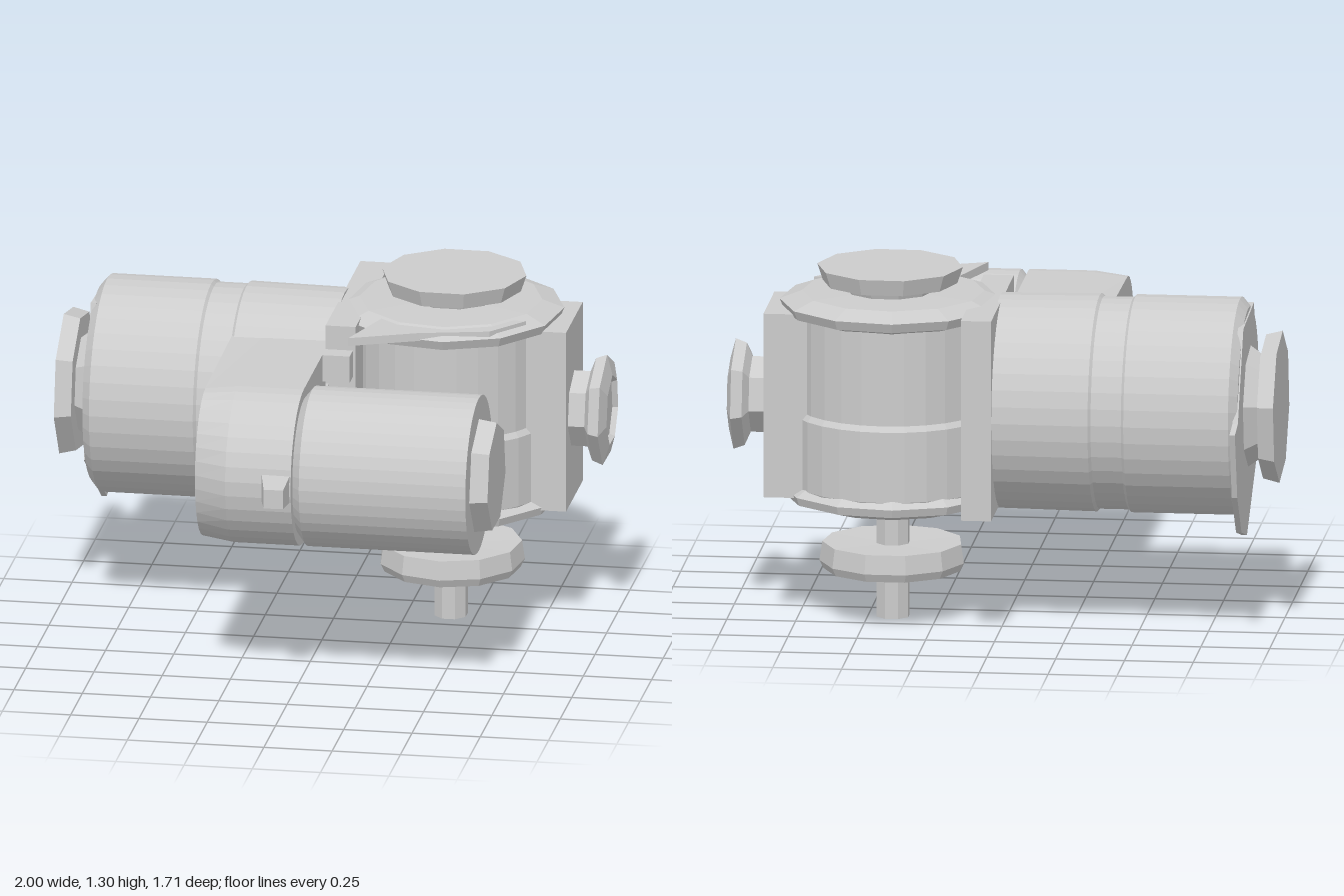
import * as THREE from 'three';

const mat = new THREE.MeshStandardMaterial({ color: 0xcccccc, flatShading: true, side: THREE.DoubleSide });

export function createModel() {
  const model = new THREE.Group();

  function add(name, geo, x = 0, y = 0, z = 0, parent = model) {
    const m = new THREE.Mesh(geo, mat);
    m.name = name;
    m.position.set(x, y, z);
    parent.add(m);
    return m;
  }
  const box = (name, x0, x1, y0, y1, z0, z1) =>
    add(name, new THREE.BoxGeometry(x1 - x0, y1 - y0, z1 - z0), (x0 + x1) / 2, (y0 + y1) / 2, (z0 + z1) / 2);
  // Turned part: profile of [radius, height along axis]
  const turned = (pts, sides, twist = 0) =>
    new THREE.LatheGeometry(pts.map(p => new THREE.Vector2(...p)), sides, twist);
  // Same, with the axis laid along +x
  const turnedX = (pts, sides, twist) => turned(pts, sides, twist).rotateZ(-Math.PI / 2);

  // Upright gearbox housing
  const HX = 0.41, HZ = -0.37;
  add('housingBody', turned([[0.34, 0.44], [0.365, 0.5], [0.365, 0.76], [0.35, 0.78], [0.35, 1.16]], 28), HX, 0, HZ);
  const topFlange = add('topFlange', turned([[0.33, 1.12], [0.395, 1.14], [0.41, 1.175], [0.33, 1.205], [0, 1.21]], 12, 0.1), HX, 0, HZ);
  topFlange.scale.z = 1.04;
  add('bottomFlange', turned([[0, 0.42], [0.27, 0.415], [0.39, 0.45], [0.4, 0.48], [0.34, 0.52]], 12, 0.1), HX, 0, HZ);
  const lip = new THREE.Shape([[0.1, 0.1], [0.34, 0], [0.59, -0.06], [0.7, -0.2], [0.2, -0.2]]
    .map(([x, z]) => new THREE.Vector2(x + 0.02, -z + 0.02)));
  add('topLip', new THREE.ExtrudeGeometry(lip, { depth: 0.03, bevelEnabled: false }).rotateX(-Math.PI / 2), 0, 1.17, 0.06);

  // Top cap and lower shaft with its collar
  add('topCap', turned([[0.15, 1.19], [0.17, 1.24], [0.245, 1.24], [0.265, 1.3], [0, 1.3]], 10, 0.3), HX + 0.01, 0, HZ - 0.01);
  add('shaft', turned([[0, 0], [0.062, 0], [0.062, 0.37], [0.09, 0.42]], 8, Math.PI / 8), HX, 0, HZ);
  add('shaftCollar', turned([[0, 0.18], [0.25, 0.18], [0.265, 0.21], [0.255, 0.28], [0, 0.27]], 11), HX, 0, HZ - 0.01);

  // Side plate with hexagonal cap
  box('sidePlate', 0.66, 0.86, 0.47, 1.15, -0.56, -0.2);
  add('sideCap', turnedX([[0.14, 0.84], [0.14, 0.92], [0.19, 0.94], [0.205, 0.98], [0.13, 1.0], [0.12, 0.98], [0, 0.98]], 7, 0.2), 0, 0.81, -0.375);

  // Mounting plate between the housing and the large motor
  box('mountPlate', 0.01, 0.12, 0.45, 1.19, -0.77, -0.02);
  for (const y of [0.47, 1.0]) box('mountLug', 0, 0.11, y, y + 0.1, -0.06, 0.05);

  // Large motor
  const motor = new THREE.Group();
  motor.name = 'largeMotor';
  motor.position.set(0, 0.81, -0.375);
  model.add(motor);
  add('motorBarrel', turnedX([[0, -0.88], [0.36, -0.88], [0.395, -0.85], [0.395, -0.47], [0.385, -0.46],
    [0.385, -0.35], [0.395, -0.34], [0.39, 0.02], [0, 0.02]], 40), 0, 0, 0, motor);
  add('motorEndCap', turnedX([[0, -1], [0.275, -1], [0.26, -0.94], [0.18, -0.94], [0.23, -0.87]], 8, 0.2), 0, 0, 0, motor);
  // Thin end plate with two projecting corners (shape x = -z, y = y)
  const tab = new THREE.Shape([[-0.3, -0.2], [0.08, -0.46], [0.26, -0.41], [0.4, -0.25], [0.48, 0], [0.38, 0.02], [0.2, 0.33], [-0.15, 0.35]]
    .map(p => new THREE.Vector2(...p)));
  add('endPlate', new THREE.ExtrudeGeometry(tab, { depth: 0.02, bevelEnabled: false }).rotateY(Math.PI / 2), -0.885, 0, 0, motor);

  // Arm carrying the small motor (shape x = -z, y = y)
  const arm = new THREE.Shape();
  arm.moveTo(0.15, 0.46);
  arm.lineTo(0.15, 1.1);
  arm.lineTo(-0.45, 1.1);
  arm.absarc(-0.445, 0.81, 0.29, Math.PI / 2, Math.PI * 1.46, false);
  arm.lineTo(-0.02, 0.465);
  const armGeo = new THREE.ExtrudeGeometry(arm, { depth: 0.36, bevelEnabled: false, curveSegments: 8, steps: 3 });
  // Chamfer the outer end
  const p = armGeo.attributes.position;
  for (let i = 0; i < p.count; i++) {
    if (p.getZ(i) < 0.01 && p.getX(i) < -0.44) {
      p.setX(i, -0.445 + (p.getX(i) + 0.445) * 0.8);
      p.setY(i, 0.81 + (p.getY(i) - 0.81) * 0.95);
    }
  }
  add('arm', armGeo.rotateY(Math.PI / 2), -0.35, 0, 0);
  const lug = add('armLug', new THREE.CylinderGeometry(0.05, 0.075, 0.14, 4, 1, false, Math.PI / 4).rotateX(Math.PI / 2), -0.04, 0.81, 0.78);
  lug.rotation.y = 0.1;

  // Small motor
  add('smallMotor', turnedX([[0.24, 0], [0.29, 0.04], [0.29, 0.65], [0, 0.65]], 40), 0, 0.81, 0.445);
  add('smallMotorCap', turnedX([[0.21, 0.65], [0.2, 0.715], [0, 0.715]], 7, 0.2), 0, 0.81, 0.445);

  return model;
}
